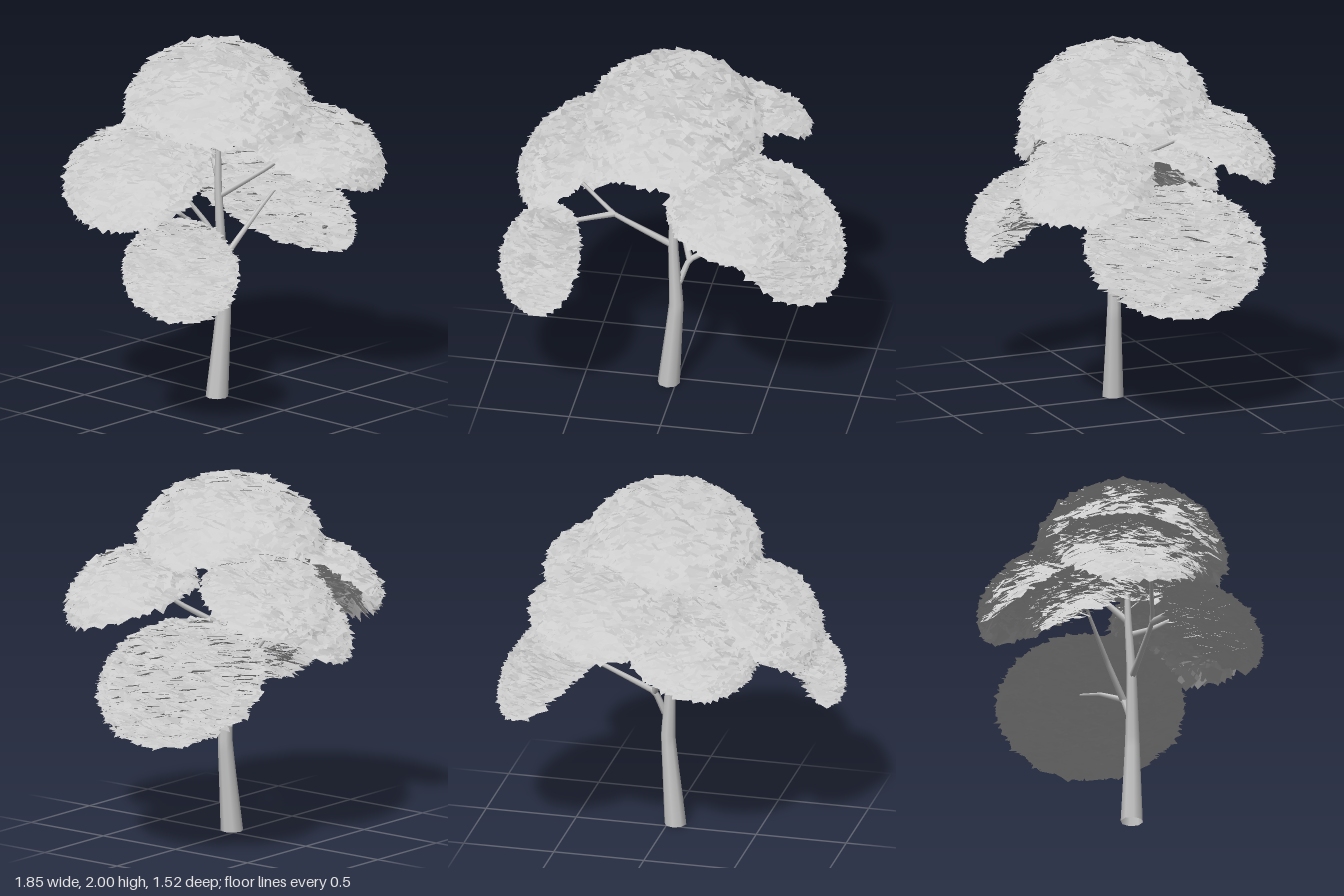
import * as THREE from 'three';
import { mergeGeometries } from 'three/addons/utils/BufferGeometryUtils.js';

const V = (x, y, z) => new THREE.Vector3(x, y, z);
const UP = V(0, 1, 0);

// Small seeded random generator
function seeded(seed) {
  let s = seed;
  return () => {
    s = (s * 16807) % 2147483647;
    return s / 2147483647;
  };
}

// Tapering tube along straight segments: every ring is scaled about its own centre
function limbGeometry(points, radii, sides) {
  const curve = new THREE.CatmullRomCurve3(points.map((p) => V(...p)), false, 'catmullrom', 0.08);
  const steps = points.length * 5;
  const geo = new THREE.TubeGeometry(curve, steps, 1, sides, false);
  const pos = geo.attributes.position;
  const v = V(0, 0, 0);
  for (let i = 0; i <= steps; i++) {
    const t = i / steps;
    const centre = curve.getPointAt(t);
    const f = t * (radii.length - 1);
    const k = Math.min(Math.floor(f), radii.length - 2);
    const r = THREE.MathUtils.lerp(radii[k], radii[k + 1], f - k);
    for (let j = 0; j <= sides; j++) {
      const n = i * (sides + 1) + j;
      v.fromBufferAttribute(pos, n).sub(centre).multiplyScalar(r).add(centre);
      // the lowest ring sits flat on the ground
      if (i === 0 && points[0][1] === 0) v.y = 0;
      pos.setXYZ(n, v.x, v.y, v.z);
    }
  }
  return geo;
}

// Open dome of overlapping square leaf cards, its top pointing along pole.
// The cards lie nearly level; follow sets how far they lean with the dome.
function foliageGeometry({ centre, radii, pole, count, follow }, seed) {
  const rnd = seeded(seed);
  const [a, h, b] = radii;
  const cards = [];
  const turn = new THREE.Quaternion().setFromUnitVectors(UP, V(...pole).normalize());
  const q = new THREE.Quaternion();
  const jitter = new THREE.Quaternion();
  for (let i = 0; i < count; i++) {
    const y = 1 - 1.03 * ((i + 0.5) / count);
    const ring = Math.sqrt(1 - y * y);
    const angle = i * 2.399963;
    const x = ring * Math.cos(angle);
    const z = ring * Math.sin(angle);
    const depth = 0.95 + rnd() * 0.05;
    const point = V(x * a, y * h, z * b).multiplyScalar(depth).applyQuaternion(turn).add(V(...centre));
    const normal = V(x / a, y / h, z / b).normalize().applyQuaternion(turn);
    normal.multiplyScalar(follow).add(UP).normalize();
    q.setFromUnitVectors(V(0, 0, 1), normal);
    jitter.setFromEuler(new THREE.Euler((rnd() - 0.5) * 0.7, (rnd() - 0.5) * 0.7, rnd() * Math.PI * 2));
    q.multiply(jitter);
    const size = 0.08 + rnd() * 0.025;
    const card = new THREE.PlaneGeometry(size, size);
    card.applyMatrix4(new THREE.Matrix4().compose(point, q, V(1, 1, 1)));
    cards.push(card);
  }
  return mergeGeometries(cards);
}

export function createModel() {
  const model = new THREE.Group();
  model.name = 'tree';
  const bark = new THREE.MeshStandardMaterial({ color: 0xcccccc, side: THREE.DoubleSide });
  const leaf = new THREE.MeshStandardMaterial({ color: 0xcccccc, side: THREE.DoubleSide });
  const add = (parent, name, geo, mat) => {
    const mesh = new THREE.Mesh(geo, mat);
    mesh.name = name;
    parent.add(mesh);
  };

  // Trunk with a slight lean and bend, open at the base
  add(model, 'trunk', limbGeometry(
    [[-0.04, 0, 0.045], [0.003, 0.5, 0.057], [-0.015, 0.87, 0.05], [-0.015, 1.2, 0.03], [0, 1.6, 0.02]],
    [0.061, 0.047, 0.035, 0.025, 0.018, 0.01], 8), bark);

  // Branches reaching into each clump of leaves
  const branches = new THREE.Group();
  branches.name = 'branches';
  const branchPaths = {
    rightBranch: [[-0.02, 0.87, 0.05], [-0.33, 1.06, 0.1], [-0.64, 1.32, 0.03]],
    rightLowerBranch: [[-0.33, 1.06, 0.1], [-0.55, 1.07, 0.24], [-0.76, 0.98, 0.4]],
    leftBranch: [[0.02, 0.64, 0.05], [0.07, 0.77, 0.02], [0.4, 0.95, -0.04], [0.66, 1.06, -0.1]],
    backLowerBranch: [[0.07, 0.77, 0.02], [0, 0.95, -0.08], [-0.16, 1.25, -0.25]],
    frontBranch: [[-0.01, 1.12, 0.04], [0.18, 1.26, 0.2], [0.42, 1.48, 0.42]],
    backBranch: [[-0.01, 1.2, 0.03], [0.08, 1.38, -0.12], [0.25, 1.54, -0.42]],
  };
  for (const [name, path] of Object.entries(branchPaths)) {
    add(branches, name, limbGeometry(path, [0.019, 0.013, 0.007], 6), bark);
  }
  model.add(branches);

  // Leaf domes
  const foliage = new THREE.Group();
  foliage.name = 'foliage';
  const clumps = {
    topFoliage: { centre: [-0.02, 1.58, 0.04], radii: [0.46, 0.39, 0.49], pole: [0, 1, 0.06], count: 1400, follow: 0.8 },
    frontFoliage: { centre: [0.39, 1.32, 0.38], radii: [0.34, 0.26, 0.34], pole: [0.18, 0.9, 0.25], count: 1000, follow: 0.9 },
    backFoliage: { centre: [0.23, 1.4, -0.41], radii: [0.38, 0.21, 0.31], pole: [0, 0.87, -0.5], count: 1000, follow: 0.7 },
    backLowerFoliage: { centre: [-0.19, 1.19, -0.23], radii: [0.34, 0.21, 0.34], pole: [-0.36, 0.78, -0.46], count: 1000, follow: 0.6 },
    rightFoliage: { centre: [-0.58, 1.32, -0.07], radii: [0.31, 0.19, 0.4], pole: [-0.7, 0.72, 0], count: 1000, follow: 0.8 },
    rightLowerFoliage: { centre: [-0.66, 0.89, 0.35], radii: [0.26, 0.16, 0.28], pole: [-0.68, 0.4, 0.45], count: 900, follow: 0.2 },
    leftFoliage: { centre: [0.52, 0.92, -0.07], radii: [0.39, 0.24, 0.47], pole: [0.69, 0.72, 0], count: 1700, follow: 0.03 },
  };
  Object.entries(clumps).forEach(([name, clump], i) => {
    add(foliage, name, foliageGeometry(clump, 101 + i * 977), leaf);
  });
  model.add(foliage);
  return model;
}
